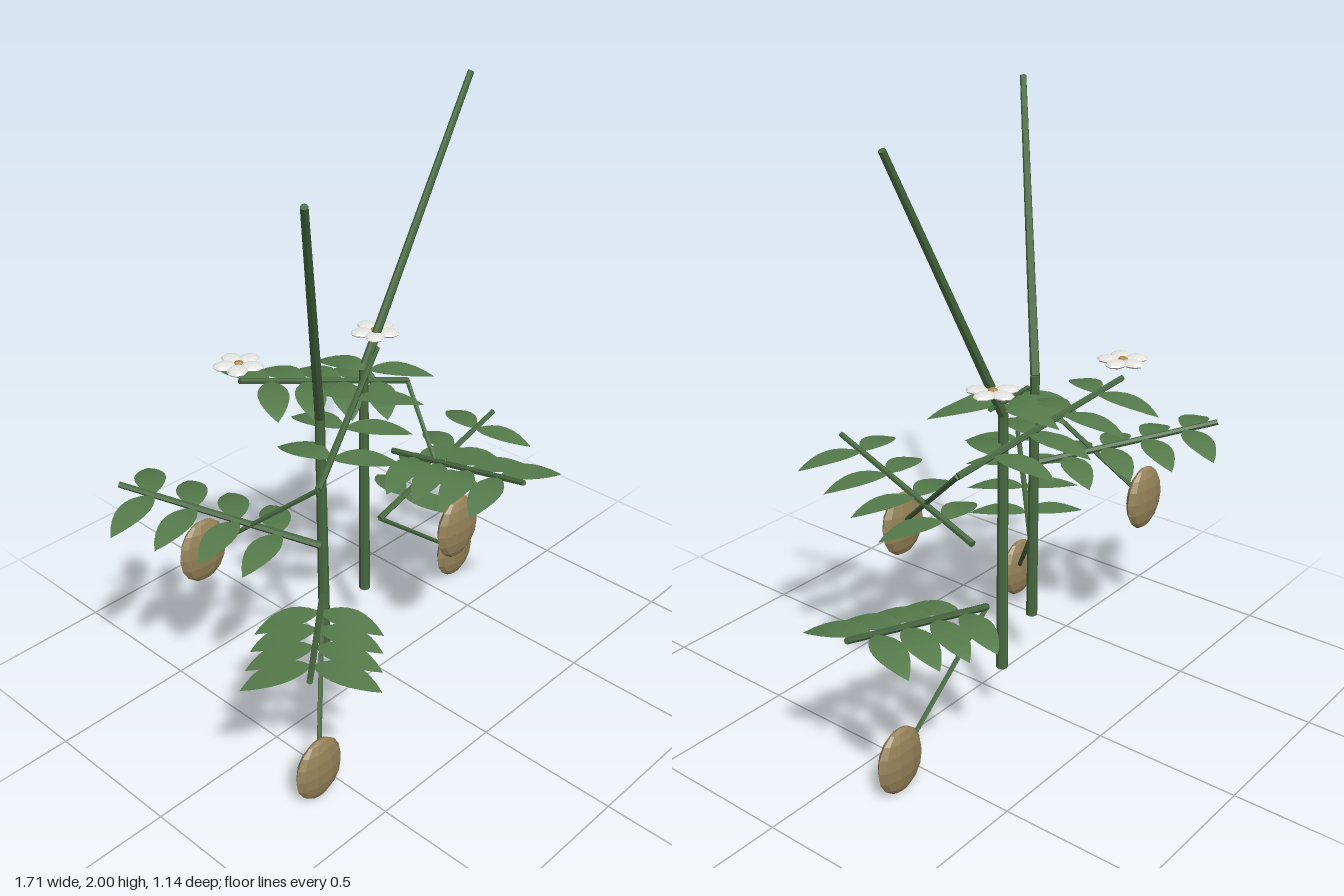
import * as THREE from 'three';

const mat = (name, color, extra = {}) => {
  const m = new THREE.MeshStandardMaterial({ color, flatShading: true, ...extra });
  m.name = name;
  return m;
};
const V = (p) => new THREE.Vector3(...p);

// Tapered rod between two points
function rod(name, a, b, r0, r1, material, sides = 7) {
  const d = V(b).sub(V(a));
  const mesh = new THREE.Mesh(new THREE.CylinderGeometry(r1, r0, d.length(), sides), material);
  mesh.position.copy(V(a)).addScaledVector(d, 0.5);
  mesh.quaternion.setFromUnitVectors(new THREE.Vector3(0, 1, 0), d.normalize());
  mesh.name = name;
  return mesh;
}

// Pointed leaf blade along +x, arched up and drooping at the tip
function leafGeometry(length = 0.222, halfWidth = 0.051, steps = 8) {
  const pos = [], idx = [];
  for (let i = 0; i <= steps; i++) {
    const s = i / steps;
    const w = halfWidth * Math.pow(Math.sin(Math.PI * Math.pow(s, 0.9)), 0.85) || 0;
    const y = 0.035 * s - 0.068 * s * s;
    pos.push(s * length, y, -w, s * length, y, w);
    if (i < steps) {
      const k = i * 2;
      idx.push(k, k + 1, k + 2, k + 1, k + 3, k + 2);
    }
  }
  const g = new THREE.BufferGeometry();
  g.setAttribute('position', new THREE.Float32BufferAttribute(pos, 3));
  g.setIndex(idx);
  g.computeVertexNormals();
  return g;
}

export function createModel() {
  const stemGreen = mat('stem green', 0x47683f);
  const leafGreen = mat('leaf green', 0x557a4b, { side: THREE.DoubleSide });
  const fruitTan = mat('fruit tan', 0x96825a);
  const petalWhite = mat('petal white', 0xe6e6e2);
  const centreGold = mat('flower centre gold', 0xa88a4a);

  const model = new THREE.Group();
  model.name = 'plant';
  const leafGeo = leafGeometry();
  const fruitGeo = new THREE.SphereGeometry(1, 10, 8).scale(0.098, 0.114, 0.033);
  const petalGeo = new THREE.SphereGeometry(1, 8, 6).scale(0.04, 0.011, 0.034);
  const centreGeo = new THREE.SphereGeometry(0.018, 8, 6).scale(1, 0.7, 1);

  // Two stems, each with an upright part and a leaning upper part
  const stems = [
    [[-0.215, 0.2, -0.05], [-0.215, 1.1, -0.05], [-0.593, 1.995, 0.3]],
    [[0.12, 0.2, -0.18], [0.12, 1.1, -0.18], [0.632, 1.995, -0.18]],
  ];
  for (const [foot, bend, tip] of stems) {
    const stem = new THREE.Group();
    stem.name = 'stem';
    stem.add(rod('lowerStem', foot, bend, 0.02, 0.016, stemGreen, 8));
    stem.add(rod('upperStem', bend, tip, 0.016, 0.011, stemGreen, 8));
    model.add(stem);
  }

  // Fronds: a rising midrib with four pairs of leaflets
  const fronds = [
    [[0.2, 0.462, -0.18], [0.84, 0.64, -0.185]],
    [[-0.27, 0.462, 0.0], [-0.745, 0.64, 0.43]],
    [[-0.32, 0.715, 0.05], [-0.695, 0.89, -0.475]],
    [[0.27, 0.715, -0.18], [0.19, 0.89, 0.455]],
    [[0.34, 0.97, -0.18], [-0.28, 1.145, -0.35]],
    [[-0.375, 0.97, 0.1], [0.195, 1.145, -0.19]],
  ];
  for (const [base, tip] of fronds) {
    const frond = new THREE.Group();
    frond.name = 'frond';
    frond.add(rod('midrib', base, tip, 0.012, 0.01, stemGreen, 6));
    const heading = Math.atan2(base[2] - tip[2], tip[0] - base[0]);
    for (const t of [0.2, 0.41, 0.62, 0.83]) {
      for (const side of [-1, 1]) {
        const leaf = new THREE.Mesh(leafGeo, leafGreen);
        leaf.name = 'leaflet';
        leaf.position.lerpVectors(V(base), V(tip), t);
        leaf.rotation.y = heading + side * 1.2;
        frond.add(leaf);
      }
    }
    model.add(frond);
  }

  // Hanging fruits on thin stalks
  const fruits = [
    [[0.2, 0.462, -0.18], [0.627, 0.115, -0.18]],
    [[-0.27, 0.462, 0.0], [-0.59, 0.115, 0.295]],
    [[-0.375, 0.97, 0.1], [-0.51, 0.625, -0.307]],
    [[0.34, 0.97, -0.18], [0.163, 0.625, 0.21]],
  ];
  for (const [base, at] of fruits) {
    model.add(rod('fruitStalk', base, at, 0.009, 0.008, stemGreen, 6));
    const fruit = new THREE.Mesh(fruitGeo, fruitTan);
    fruit.name = 'fruit';
    fruit.position.set(...at);
    model.add(fruit);
  }

  // Five-petalled flowers above the top fronds
  for (const at of [[-0.278, 1.205, -0.35], [0.197, 1.205, -0.2]]) {
    const flower = new THREE.Group();
    flower.name = 'flower';
    flower.position.set(...at);
    for (let i = 0; i < 5; i++) {
      const a = 0.1 + (i * Math.PI * 2) / 5;
      const petal = new THREE.Mesh(petalGeo, petalWhite);
      petal.name = 'petal';
      petal.position.set(Math.cos(a) * 0.046, 0, -Math.sin(a) * 0.046);
      petal.rotation.y = a;
      flower.add(petal);
    }
    const centre = new THREE.Mesh(centreGeo, centreGold);
    centre.name = 'flowerCentre';
    flower.add(centre);
    model.add(flower);
  }
  return model;
}
